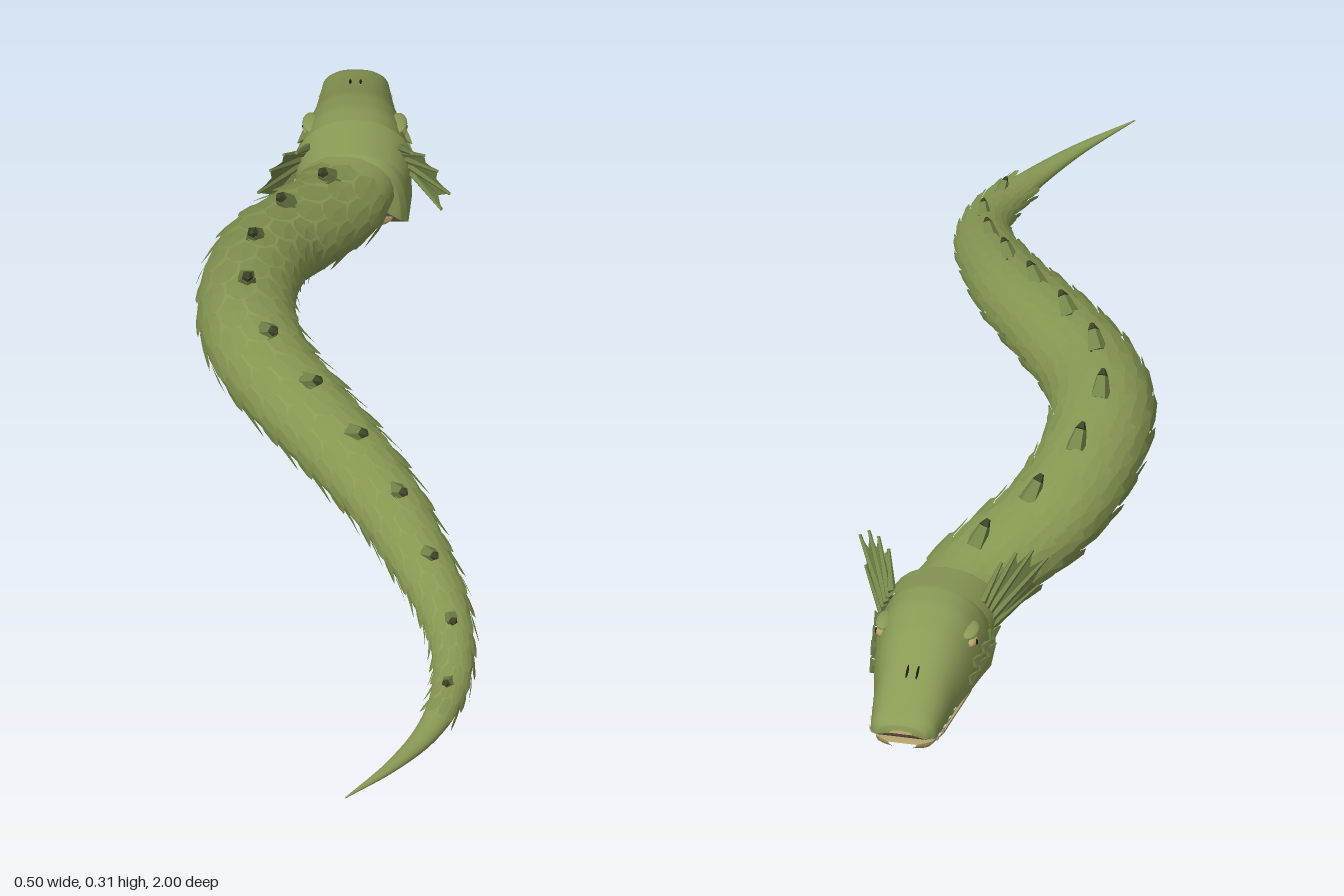
import * as THREE from 'three';

const mat = (name, color, side = THREE.FrontSide, flatShading = false) =>
  Object.assign(new THREE.MeshStandardMaterial({ color, side, flatShading }), { name });

const V = (x, y, z) => new THREE.Vector3(x, y, z);
const HEAD_X = 0.022;

// Body spine: x, y, z, half width, half height
const SPINE = [
  [0.02, 0.13, -0.74, 0.078, 0.064], [0.014, 0.128, -0.66, 0.084, 0.066],
  [-0.01, 0.131, -0.58, 0.085, 0.069], [-0.07, 0.152, -0.48, 0.085, 0.071],
  [-0.128, 0.175, -0.38, 0.085, 0.072], [-0.16, 0.197, -0.22, 0.085, 0.073],
  [-0.15, 0.202, -0.1, 0.085, 0.073], [-0.11, 0.194, 0, 0.082, 0.07],
  [-0.045, 0.181, 0.1, 0.078, 0.067], [0.025, 0.162, 0.2, 0.072, 0.063],
  [0.09, 0.137, 0.3, 0.064, 0.056], [0.14, 0.109, 0.4, 0.055, 0.048],
  [0.182, 0.079, 0.5, 0.046, 0.039], [0.203, 0.051, 0.6, 0.037, 0.032],
  [0.196, 0.029, 0.7, 0.03, 0.025], [0.16, 0.019, 0.8, 0.022, 0.017],
  [0.1, 0.021, 0.9, 0.012, 0.009], [0.02, 0.026, 1, 0.001, 0.001],
];
const path = new THREE.CatmullRomCurve3(SPINE.map(p => V(p[0], p[1], p[2])));
const girth = new THREE.CatmullRomCurve3(SPINE.map(p => V(p[3], p[4], 0)), false, 'catmullrom');

// Position, axes and size of the body at a fraction of its length
function frame(u) {
  const t = path.getUtoTmapping(THREE.MathUtils.clamp(u, 0, 1));
  const T = path.getTangent(t);
  const S = V(0, 1, 0).cross(T).normalize();
  const size = girth.getPoint(t);
  return { P: path.getPoint(t), T, S, U: T.clone().cross(S), hw: size.x, hh: size.y };
}
function skin(u, a, lift = 0) {
  const { P, S, U, hw, hh } = frame(u);
  return P.addScaledVector(S, Math.cos(a) * (hw + lift)).addScaledVector(U, Math.sin(a) * (hh + lift));
}

// Grid surface from a rule f(u, v)
function sheet(name, f, nu, nv, material) {
  const pos = [], idx = [];
  for (let i = 0; i <= nu; i++) for (let j = 0; j <= nv; j++) pos.push(...f(i / nu, j / nv).toArray());
  for (let i = 0; i < nu; i++) for (let j = 0; j < nv; j++) {
    const a = i * (nv + 1) + j, c = a + nv + 1;
    idx.push(a, a + 1, c, a + 1, c + 1, c);
  }
  const g = new THREE.BufferGeometry();
  g.setAttribute('position', new THREE.Float32BufferAttribute(pos, 3));
  g.setIndex(idx);
  g.computeVertexNormals();
  return named(name, g, material);
}
function named(name, geometry, material) {
  const m = new THREE.Mesh(geometry, material);
  m.name = name;
  return m;
}
function triangles(name, points, material) {
  const g = new THREE.BufferGeometry().setFromPoints(points);
  g.computeVertexNormals();
  return named(name, g, material);
}
// Tapered spike from a base point along a direction
function spike(name, base, dir, length, r0, r1, sides, material) {
  const m = named(name, new THREE.CylinderGeometry(r1, r0, length, sides).translate(0, length / 2, 0), material);
  m.position.copy(base);
  m.quaternion.setFromUnitVectors(V(0, 1, 0), dir.clone().normalize());
  return m;
}
function sample(rows, t) {
  const x = t * (rows.length - 1), i = Math.min(Math.floor(x), rows.length - 2);
  return rows[i].map((v, k) => v + (rows[i + 1][k] - v) * (x - i));
}

// Head sections from the snout back: z, half width, outer y, mouth y
const SKULL = [
  [-1, 0.02, 0.105, 0.098], [-0.997, 0.045, 0.115, 0.09], [-0.98, 0.058, 0.126, 0.083],
  [-0.94, 0.064, 0.142, 0.08], [-0.88, 0.072, 0.168, 0.078], [-0.82, 0.085, 0.195, 0.076],
  [-0.76, 0.096, 0.211, 0.072], [-0.71, 0.1, 0.214, 0.058], [-0.64, 0.094, 0.198, 0.052],
  [-0.62, 0.08, 0.18, 0.07], [-0.61, 0.02, 0.14, 0.12],
];
const JAW = [
  [-0.986, 0.025, 0.06, 0.069], [-0.972, 0.05, 0.051, 0.07], [-0.93, 0.064, 0.046, 0.068],
  [-0.88, 0.071, 0.044, 0.067], [-0.8, 0.084, 0.041, 0.068], [-0.7, 0.088, 0.042, 0.07],
  [-0.64, 0.08, 0.048, 0.075], [-0.615, 0.065, 0.058, 0.08], [-0.605, 0.01, 0.08, 0.085],
];
const round = v => Math.sign(v) * Math.abs(v) ** 0.8;
const shell = (rows, start) => (u, v) => {
  const [z, hw, outer, mouth] = sample(rows, u), a = start + v * Math.PI;
  return V(HEAD_X + hw * round(Math.cos(a)), mouth + Math.abs(outer - mouth) * round(Math.sin(a)), z);
};
const lid = (rows, sign) => (u, v) => {
  const [z, hw, , mouth] = sample(rows, u);
  return V(HEAD_X + sign * hw * (2 * v - 1), mouth, z);
};

export function createModel() {
  const green = mat('body green', 0x8a9b56);
  const scaleGreen = mat('scale green', 0x869752, THREE.FrontSide, true);
  const finGreen = mat('fin green', 0x74854a, THREE.DoubleSide, true);
  const tipGreen = mat('spine tip green', 0x3b4526, THREE.FrontSide, true);
  const belly = mat('belly tan', 0xa3946a);
  const jawTan = mat('jaw tan', 0xb5a56e);
  const mouth = mat('mouth', 0x6e5848);
  const ivory = mat('tooth ivory', 0xcfcbbb);
  const amber = mat('eye amber', 0xb5a26a);
  const black = mat('pupil black', 0x1c1c16);

  const root = new THREE.Group();
  root.name = 'seaSerpent';

  // Body: green back and tan belly
  const edge = 38 * Math.PI / 180;
  root.add(sheet('back', (u, v) => skin(u, -edge + v * (Math.PI + 2 * edge)), 90, 16, green));
  root.add(sheet('belly', (u, v) => skin(u, Math.PI + edge + v * (Math.PI - 2 * edge)), 90, 8, belly));

  // Overlapping scales in staggered rows, lifted toward the tail
  const outline = [[-1, -0.4], [-1, 0.35], [-0.45, 1], [0.45, 1], [1, 0.35], [1, -0.4], [0, -0.9]];
  const tri = [];
  for (let row = 0, u = 0.085; u < 0.85; row++) {
    const size = frame(u).hw / 0.085, len = 0.011 + 0.009 * size;
    for (let k = 0; k < 7; k++) {
      const a = (-20 + k * 34 + (row % 2) * 17) * Math.PI / 180;
      if (a > Math.PI + edge - 0.2) continue;
      const at = (w, l) => skin(u + l * len, a + w * 0.27, 0.0055 + 0.0045 * l);
      const rim = outline.map(([w, l]) => at(w, l)), mid = at(0, 0);
      rim.forEach((p, i) => tri.push(mid, rim[(i + 1) % rim.length], p));
    }
    u += 0.015 + 0.012 * size;
  }
  root.add(triangles('scales', tri, scaleGreen));

  // Row of swept-back spines
  const spines = new THREE.Group();
  spines.name = 'dorsalSpines';
  for (let i = 0; i < 11; i++) {
    const u = 0.1 + i * 0.0715, f = frame(u), s = 0.5 + 0.5 * f.hw / 0.085;
    const dir = f.U.clone().multiplyScalar(0.66).addScaledVector(f.T, 0.75);
    const base = skin(u, Math.PI / 2, -0.004);
    spines.add(spike('spine', base, dir, 0.04 * s, 0.02 * s, 0.011 * s, 5, finGreen));
    const tip = base.clone().addScaledVector(dir, 0.04 * s);
    spines.add(spike('spineTip', tip, dir.addScaledVector(f.T, 0.4), 0.014 * s, 0.011 * s, 0.004 * s, 5, tipGreen));
  }
  root.add(spines);

  // Head and jaw
  const head = new THREE.Group();
  head.name = 'head';
  head.add(sheet('skull', shell(SKULL, 0), 40, 18, green));
  head.add(sheet('palate', lid(SKULL, 1), 20, 1, mouth));
  head.add(sheet('lowerJaw', shell(JAW, Math.PI), 24, 12, jawTan));
  head.add(sheet('mouthFloor', lid(JAW, -1), 16, 1, jawTan));

  // Collar sloping from the back of the head onto the neck
  head.add(sheet('collar', (u, v) => {
    const a = (-35 + 250 * v) * Math.PI / 180;
    return V(HEAD_X - 0.006 * u + (0.102 - 0.005 * u) * Math.cos(a),
      0.127 + (0.089 - 0.014 * u) * Math.sin(a), -0.715 + 0.08 * u);
  }, 3, 18, green));

  // Upper and lower teeth around the mouth
  for (let i = 0; i < 9; i++) for (const s of [-1, 1]) {
    const z = -0.965 + i * 0.027, hw = 0.058 + i * 0.0032;
    const long = i % 3 === 1 ? 0.018 : 0.014;
    head.add(spike('upperTooth', V(HEAD_X + s * hw, 0.083, z), V(0, -1, 0), long, 0.007, 0.0008, 5, ivory));
    head.add(spike('lowerTooth', V(HEAD_X + s * (hw - 0.006), 0.066, z + 0.013), V(0, 1, 0), 0.012, 0.006, 0.0008, 5, ivory));
  }

  // Each side: eye, brow, nostril, cheek frills and ear fin
  for (const s of [-1, 1]) {
    const at = (x, y, z) => V(HEAD_X + s * x, y, z);
    const ball = (name, p, r, material) => {
      const m = named(name, new THREE.SphereGeometry(r, 14, 10), material);
      m.position.copy(p);
      head.add(m);
      return m;
    };
    ball('eye', at(0.08, 0.153, -0.775), 0.013, amber).scale.set(0.8, 0.75, 1.3);
    ball('pupil', at(0.0885, 0.154, -0.779), 0.005, black).scale.set(0.6, 1.1, 0.8);
    ball('brow', at(0.076, 0.17, -0.768), 0.017, green).scale.set(0.9, 0.4, 1.7);
    const nostril = ball('nostril', at(0.009, 0.161, -0.9), 0.014, black);
    nostril.scale.set(0.15, 0.2, 1);
    nostril.rotation.x = -0.42;

    for (let i = 0; i < 6; i++) {
      const p = at(0.082 + 0.003 * i, 0.1 + 0.022 * (i % 2), -0.82 + i * 0.022);
      head.add(spike('cheekFrill', p, V(s * 0.5, 0.1, 1), 0.032, 0.012, 0.001, 4, finGreen));
    }

    const tips = [[0.1, 0.215, -0.62], [0.122, 0.225, -0.6], [0.145, 0.213, -0.57],
      [0.166, 0.184, -0.545], [0.152, 0.135, -0.565]].map(p => at(...p));
    const bases = tips.map((_, i) => at(0.08 + 0.004 * i, 0.175 - 0.012 * i, -0.69));
    const web = [];
    tips.forEach((tip, i) => {
      const dir = tip.clone().sub(bases[i]);
      head.add(spike('earFinRay', bases[i], dir, dir.length(), 0.008, 0.003, 5, finGreen));
      if (!i) return;
      const notch = tips[i - 1].clone().add(tip).multiplyScalar(0.5).lerp(bases[i], 0.2);
      web.push(bases[i - 1], tips[i - 1], notch, bases[i - 1], notch, bases[i], bases[i], notch, tip);
    });
    head.add(triangles('earFinWeb', web, finGreen));
  }
  root.add(head);
  return root;
}
